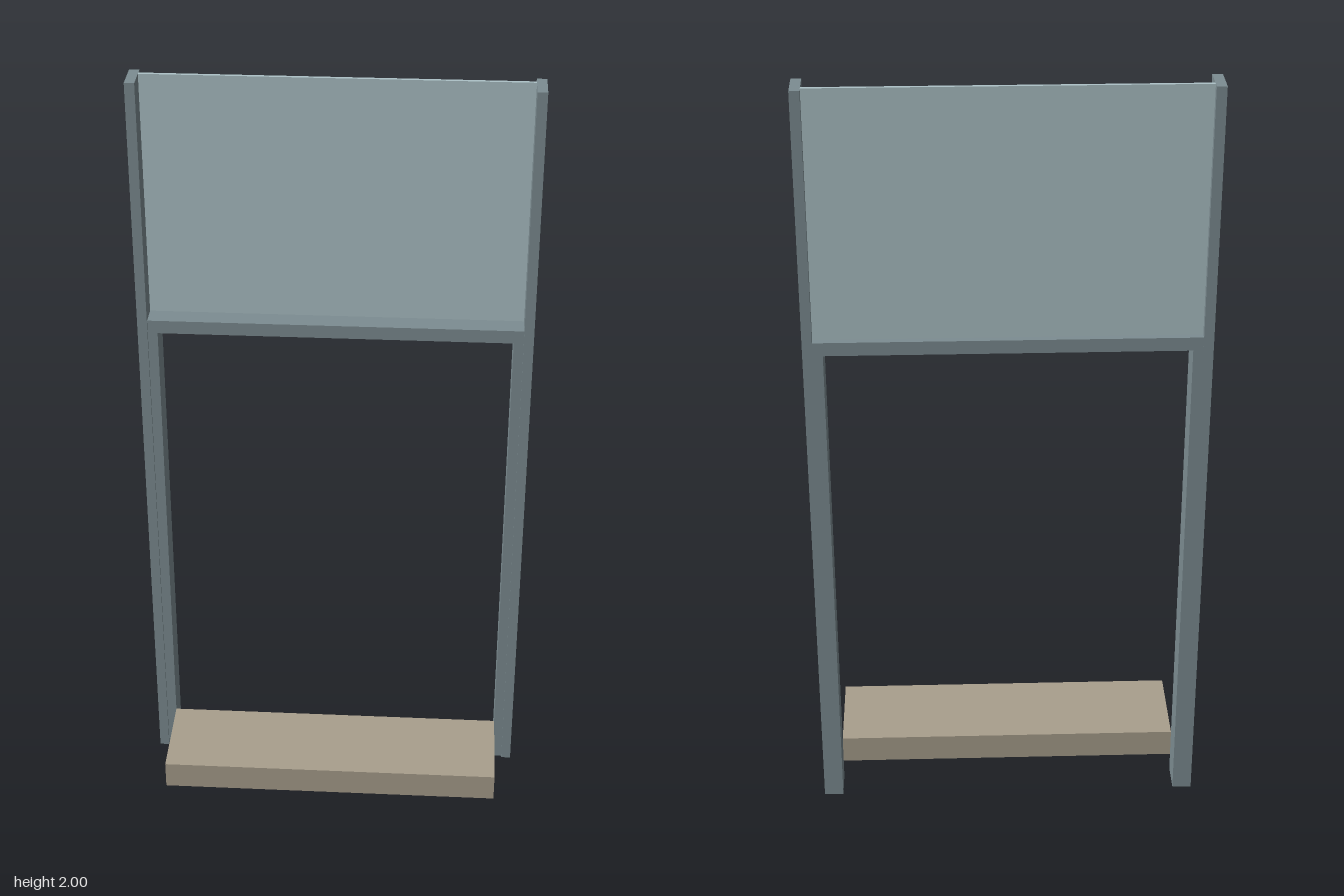
import * as THREE from 'three';

export function createModel() {
  const model = new THREE.Group();
  model.name = 'framedPanelWithStep';

  const material = (name, color) => {
    const m = new THREE.MeshStandardMaterial({ color });
    m.name = name;
    return m;
  };
  const frame = material('greyFrame', 0x7d8d92);
  const glass = material('paleGlass', 0xadc2c7);
  const wood = material('tanBoard', 0xa99f8d);

  // Box given by its extents along each axis
  const box = (name, mat, [x0, x1], [y0, y1], [z0, z1]) => {
    const mesh = new THREE.Mesh(new THREE.BoxGeometry(x1 - x0, y1 - y0, z1 - z0), mat);
    mesh.position.set((x0 + x1) / 2, (y0 + y1) / 2, (z0 + z1) / 2);
    mesh.name = name;
    model.add(mesh);
  };

  const back = -0.163;
  const frameFront = -0.081;
  const postFront = -0.075;

  // Full-height outer posts and the shorter jambs inside them
  for (const [side, s] of [['left', 1], ['right', -1]]) {
    const span = (a, b) => (s > 0 ? [a, b] : [-b, -a]);
    box(side + 'Post', frame, span(0.475, 0.5), [0, 2], [back, postFront]);
    box(side + 'Jamb', frame, span(0.45, 0.475), [0, 1.33], [back, frameFront]);
  }

  // Crossbar carrying the upper pane
  box('transom', frame, [-0.475, 0.475], [1.33, 1.365], [back, frameFront]);
  box('glassPane', glass, [-0.475, 0.475], [1.365, 2], [-0.145, -0.136]);

  // Raised board in front of the opening
  box('stepBoard', wood, [-0.45, 0.45], [0.05, 0.125], [frameFront, 0.163]);

  return model;
}
